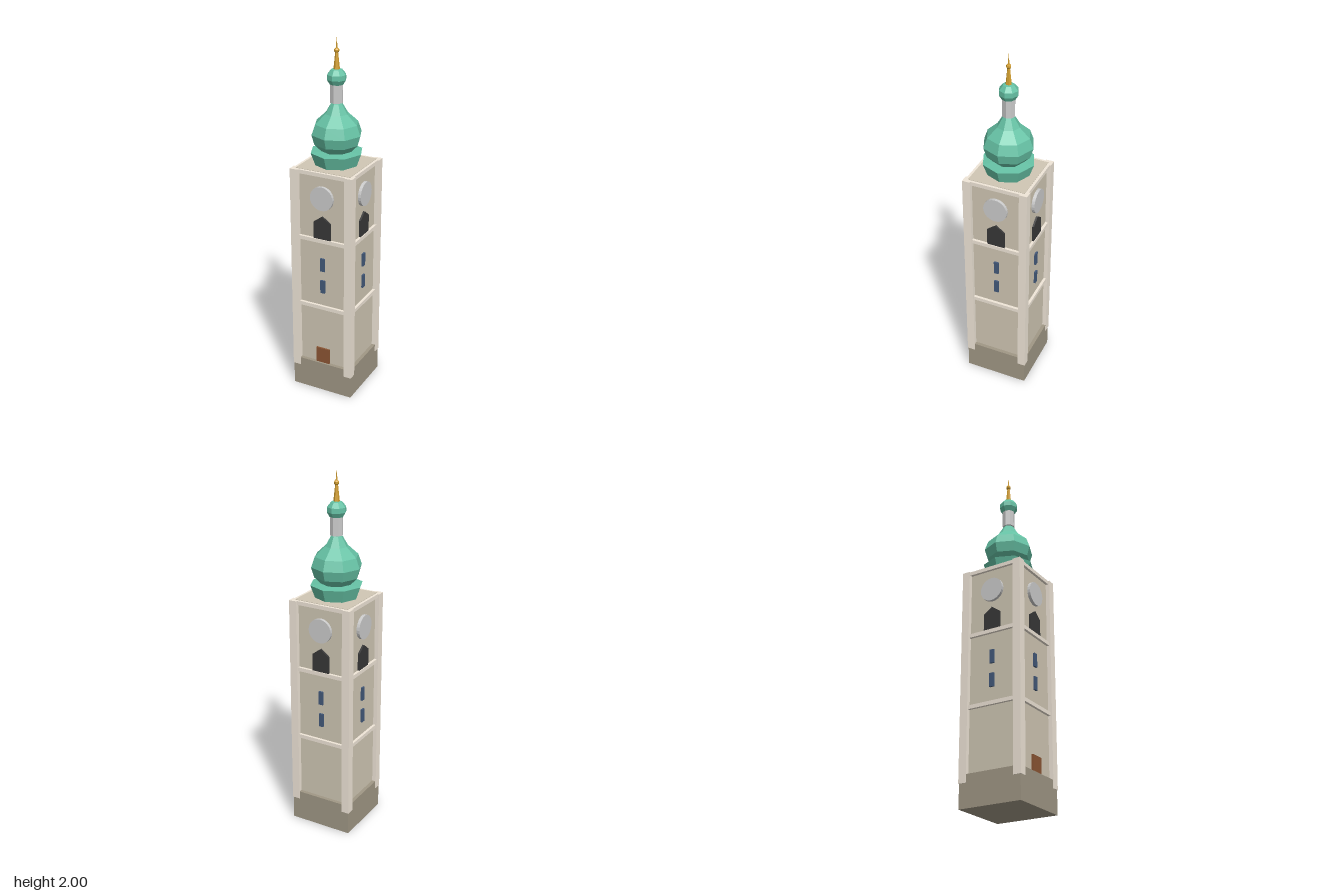
import * as THREE from 'three';

const mat = (color, flatShading = true) =>
  new THREE.MeshStandardMaterial({ color, flatShading });

export function createModel() {
  const tower = new THREE.Group();
  tower.name = 'clockTower';

  const stone = mat(0xf0e6d8), wall = mat(0xd0c7b4), plinthStone = mat(0xa09785);
  const copper = mat(0x66c2a5), gold = mat(0xd4a030), grey = mat(0xcccccc);
  const dark = mat(0x383838), glass = mat(0x43597a), wood = mat(0x8b5533);

  const add = (parent, name, geometry, material, x = 0, y = 0, z = 0) => {
    const mesh = new THREE.Mesh(geometry, material);
    mesh.name = name;
    mesh.position.set(x, y, z);
    parent.add(mesh);
    return mesh;
  };
  // Box given by its bottom and top heights
  const box = (parent, name, material, w, y0, y1, d, x = 0, z = 0) =>
    add(parent, name, new THREE.BoxGeometry(w, y1 - y0, d), material, x, (y0 + y1) / 2, z);
  // Faceted turned part from [radius, height] pairs
  const turned = (name, material, sides, profile) =>
    add(tower, name, new THREE.LatheGeometry(
      profile.map(([r, y]) => new THREE.Vector2(r, y)), sides), material);

  // Shaft and plinth
  box(tower, 'plinth', plinthStone, 0.36, 0, 0.175, 0.36);
  box(tower, 'shaft', wall, 0.32, 0.17, 1.325, 0.32);

  // Corner pilasters
  for (const sx of [-1, 1])
    for (const sz of [-1, 1])
      box(tower, 'cornerPilaster', stone, 0.045, 0.13, 1.323, 0.045, sx * 0.1605, sz * 0.1605);

  // Pointed belfry opening outline
  const opening = new THREE.Shape([
    [-0.05, 0.945], [0.05, 0.945], [0.05, 1.04], [0, 1.077], [-0.05, 1.04],
  ].map(([x, y]) => new THREE.Vector2(x, y)));

  // The four alike sides
  for (let i = 0; i < 4; i++) {
    const side = new THREE.Group();
    side.name = 'towerSide';
    side.rotation.y = i * Math.PI / 2;
    tower.add(side);

    for (const y of [0.52, 0.924, 1.302])
      box(side, 'stringCourse', stone, 0.278, y, y + 0.021, 0.025, 0, 0.1625);
    for (const y of [0.62, 0.752])
      box(side, 'slitWindow', glass, 0.026, y, y + 0.076, 0.02, 0, 0.16);
    add(side, 'belfryOpening',
      new THREE.ExtrudeGeometry(opening, { depth: 0.02, bevelEnabled: false }),
      dark, 0, 0, 0.15);
    const clock = add(side, 'clockFace',
      new THREE.CylinderGeometry(0.067, 0.067, 0.027, 24), grey, 0, 1.18, 0.1635);
    clock.rotation.x = Math.PI / 2;
  }

  // Door on the front only
  box(tower, 'door', wood, 0.08, 0.172, 0.266, 0.02, 0, 0.16);

  // Onion dome with flared collar
  turned('domeCollar', copper, 8, [[0, 1.324], [0.118, 1.324], [0.143, 1.394], [0.08, 1.4]]);
  turned('onionDome', copper, 8, [
    [0.08, 1.395], [0.122, 1.438], [0.138, 1.492], [0.118, 1.548],
    [0.062, 1.6], [0.03, 1.655], [0, 1.66],
  ]);

  // Lantern and its small cap
  add(tower, 'lantern', new THREE.CylinderGeometry(0.035, 0.035, 0.1, 8), grey, 0, 1.708, 0);
  turned('lanternCap', copper, 8, [
    [0, 1.755], [0.037, 1.755], [0.052, 1.78], [0.051, 1.806], [0.03, 1.832], [0, 1.838],
  ]);

  // Gilded finial
  turned('finialSpike', gold, 6, [
    [0, 1.825], [0.017, 1.832], [0.007, 1.925], [0.005, 1.94], [0, 2],
  ]);
  add(tower, 'finialBall', new THREE.SphereGeometry(0.014, 6, 5), gold, 0, 1.93, 0).rotation.y = Math.PI / 6;

  return tower;
}
